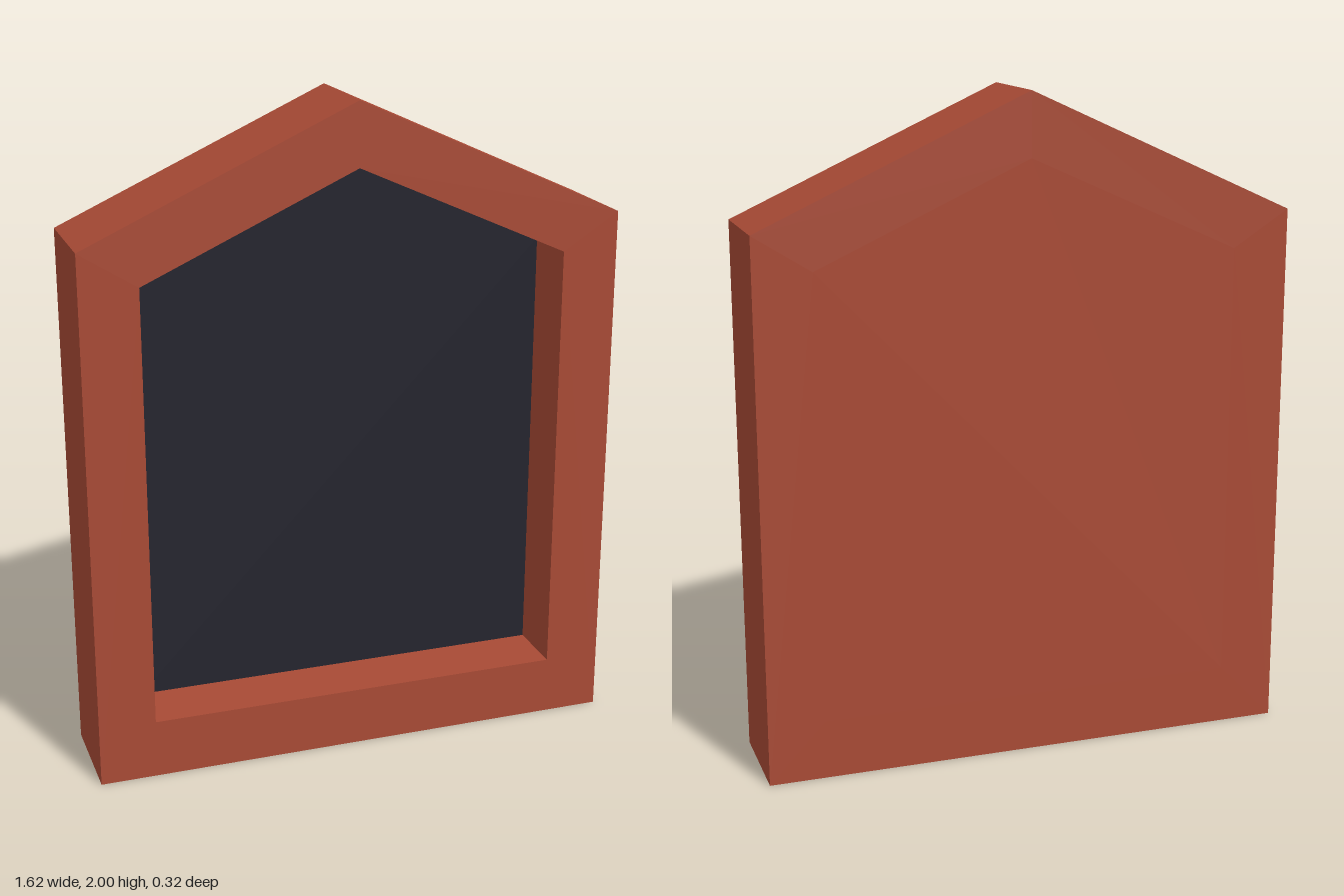
import * as THREE from 'three';

// Gabled five-sided outline, symmetric about x = 0
function gable(Type, halfWidth, bottom, eave, peak) {
  return new Type([
    new THREE.Vector2(-halfWidth, bottom),
    new THREE.Vector2(halfWidth, bottom),
    new THREE.Vector2(halfWidth, eave),
    new THREE.Vector2(0, peak),
    new THREE.Vector2(-halfWidth, eave),
  ]);
}

// Straight extrusion of a shape between two z planes
function slab(name, shape, zBack, zFront, material) {
  const geometry = new THREE.ExtrudeGeometry(shape, { depth: zFront - zBack, bevelEnabled: false });
  geometry.translate(0, 0, zBack);
  const mesh = new THREE.Mesh(geometry, material);
  mesh.name = name;
  return mesh;
}

export function createModel() {
  const brick = new THREE.MeshStandardMaterial({ color: 0xa84a35 });
  brick.name = 'brick red';
  const dark = new THREE.MeshStandardMaterial({ color: 0x23232d });
  dark.name = 'dark slate';

  const back = -0.16, front = 0.16, recess = -0.03;
  const opening = [0.64, 0.18, 1.52, 1.81];

  const group = new THREE.Group();
  group.name = 'gabledNiche';

  // Surrounding frame, open through the middle
  const outline = gable(THREE.Shape, 0.812, 0, 1.63, 2);
  outline.holes.push(gable(THREE.Path, ...opening));
  group.add(slab('frame', outline, back, front, brick));

  // Solid back closing the opening, faced with a thin dark panel
  const inner = gable(THREE.Shape, ...opening);
  group.add(slab('backWall', inner, back, recess - 0.005, brick));
  group.add(slab('recessPanel', inner, recess - 0.005, recess, dark));

  return group;
}
